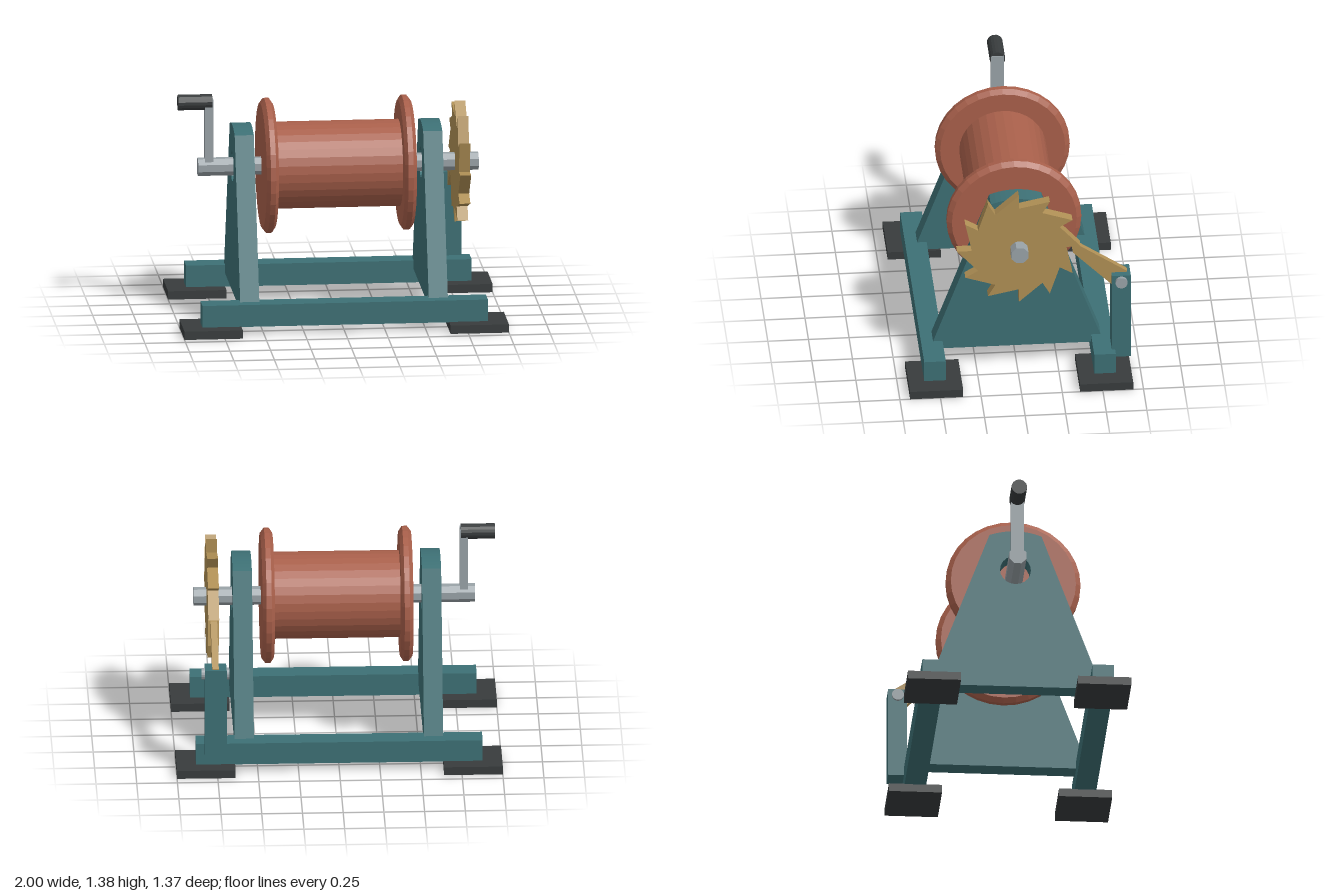
import * as THREE from 'three';

const mat = (color) => new THREE.MeshStandardMaterial({ color, flatShading: true });
const AXLE_Y = 0.923;

export function createModel() {
  const model = new THREE.Group();
  const teal = mat(0x3d7075), red = mat(0xa9604b), gold = mat(0xb09055);
  const steel = mat(0x9aa3a8), dark = mat(0x383c3d);

  function add(name, geometry, material) {
    const mesh = new THREE.Mesh(geometry, material);
    mesh.name = name;
    model.add(mesh);
    return mesh;
  }

  // box given by its limits on each axis
  function box(name, material, [x0, x1], [y0, y1], [z0, z1]) {
    add(name, new THREE.BoxGeometry(x1 - x0, y1 - y0, z1 - z0), material)
      .position.set((x0 + x1) / 2, (y0 + y1) / 2, (z0 + z1) / 2);
  }

  // cylinder lying along x, with flats facing up and sideways
  function rod(name, material, x0, x1, radius, sides, y, z) {
    const g = new THREE.CylinderGeometry(radius, radius, x1 - x0, sides);
    g.rotateY(Math.PI / sides).rotateZ(-Math.PI / 2);
    add(name, g, material).position.set((x0 + x1) / 2, y, z);
  }

  // side profile (horizontal = -z, vertical = y) extruded along x
  function plate(name, material, shape, x0, x1) {
    const g = new THREE.ExtrudeGeometry(shape, { depth: x1 - x0, bevelEnabled: false, curveSegments: 10 });
    g.rotateY(Math.PI / 2);
    add(name, g, material).position.x = x0;
  }

  const polygon = (points) => new THREE.Shape(points.map(([u, v]) => new THREE.Vector2(u, v)));

  // base: feet and cross rails
  for (const sz of [1, -1]) {
    const span = (a, b) => (sz > 0 ? [a, b] : [-b, -a]);
    box(sz > 0 ? 'frontRail' : 'backRail', teal, [-0.88, 0.88], [0.05, 0.188], span(0.457, 0.59));
    box('leftFoot', dark, [0.64, 1], [0, 0.052], span(0.36, 0.687));
    box('rightFoot', dark, [-1, -0.64], [0, 0.052], span(0.36, 0.687));
  }

  // tapered side frames with a rounded top and an axle hole
  const frame = new THREE.Shape();
  frame.moveTo(-0.535, 0.135);
  frame.lineTo(0.535, 0.135);
  frame.lineTo(0.16, 1.155);
  frame.quadraticCurveTo(0, 1.215, -0.16, 1.155);
  frame.closePath();
  const hole = new THREE.Path();
  hole.absarc(0, AXLE_Y, 0.095, 0, Math.PI * 2, true);
  frame.holes.push(hole);
  plate('leftFrame', teal, frame, 0.522, 0.64);
  plate('rightFrame', teal, frame, -0.64, -0.522);

  // drum with bevelled flanges, turned about x
  const half = [[0.2675, 0.388], [0.385, 0.388], [0.415, 0.408], [0.415, 0.44], [0.385, 0.463], [0, 0.463]];
  const profile = [
    ...half.map(([r, x]) => new THREE.Vector2(r, -x)).reverse(),
    ...half.map(([r, x]) => new THREE.Vector2(r, x)),
  ];
  add('drum', new THREE.LatheGeometry(profile, 32).rotateZ(-Math.PI / 2), red).position.y = AXLE_Y;

  // axle and crank
  rod('axle', steel, -0.853, 0.876, 0.057, 8, AXLE_Y, 0);
  box('crankArm', steel, [-0.81, -0.76], [0.96, 1.355], [-0.04, 0.04]);
  rod('crankHandle', dark, -0.975, -0.765, 0.048, 16, 1.332, 0);

  // ratchet wheel: each tooth ramps up, then drops radially
  const teeth = [];
  for (let i = 0; i < 12; i++) {
    const a = (i * Math.PI) / 6;
    for (const r of [0.381, 0.29]) teeth.push([r * Math.sin(a), AXLE_Y + r * Math.cos(a)]);
  }
  plate('ratchetWheel', gold, polygon(teeth), 0.73, 0.797);

  // pawl on its post
  plate('pawl', gold, polygon([[0.335, 0.87], [0.57, 0.633], [0.62, 0.62], [0.672, 0.66], [0.668, 0.722], [0.38, 0.915], [0.325, 0.92]]), 0.743, 0.783);
  box('pawlPost', teal, [0.695, 0.828], [0.135, 0.716], [-0.687, -0.57]);
  rod('pawlPin', steel, 0.678, 0.848, 0.037, 16, 0.674, -0.628);

  return model;
}
